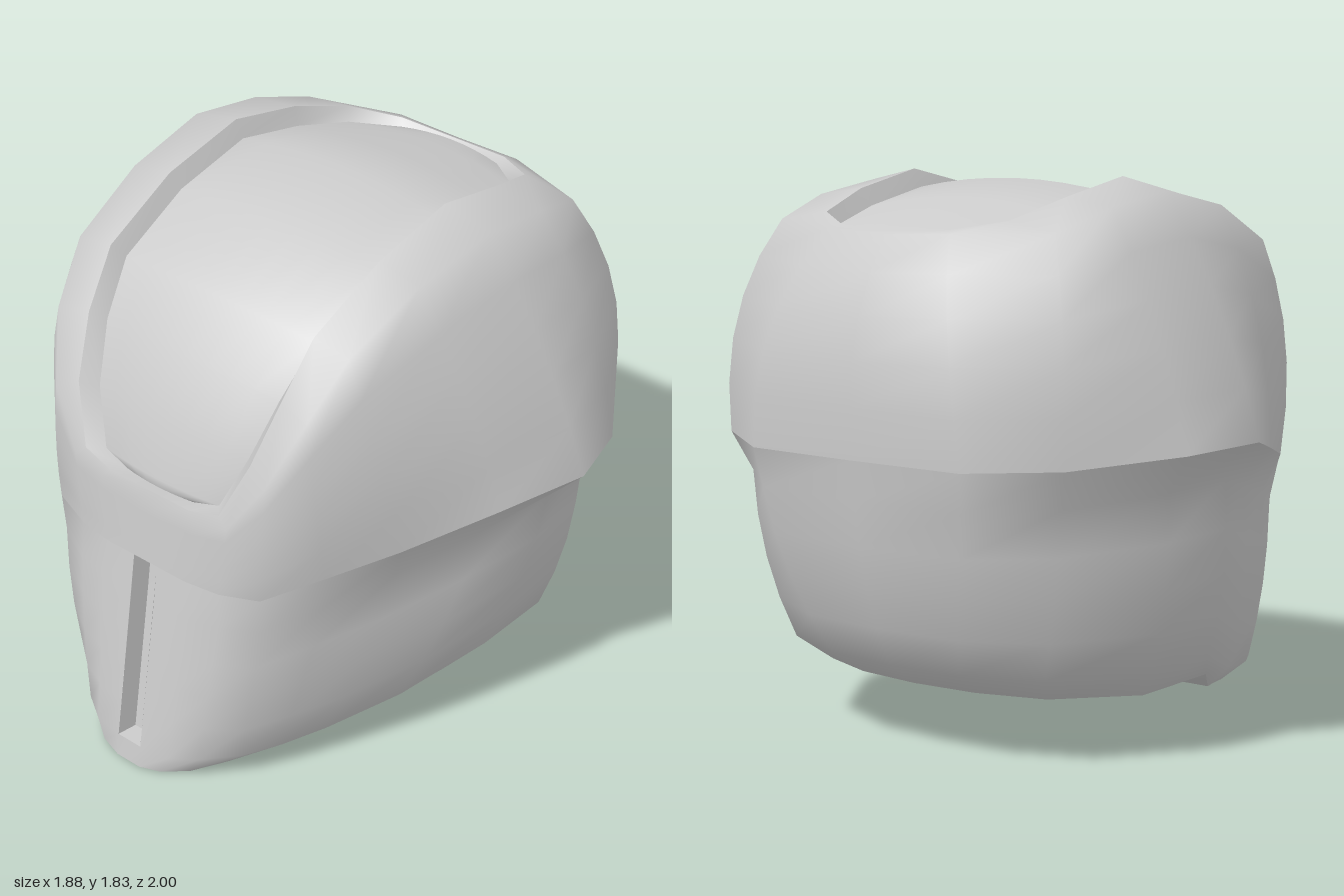
import * as THREE from 'three';
import { toCreasedNormals } from 'three/addons/utils/BufferGeometryUtils.js';

const V = (x, y, z) => new THREE.Vector3(x, y, z);
const CENTRE = V(0.1, 0.9, 0);

// Key lines of one half, each running from the face centre round to the back centre
const bottom = [[-.94, 0, 0], [-.94, 0, .05], [-.92, .01, .13], [-.86, .02, .21], [-.75, .03, .28], [-.62, .035, .33], [-.48, .05, .38],
  [-.25, .11, .53], [-.08, .2, .64], [.28, .2, .65], [.53, .205, .46], [.62, .21, .24], [.64, .21, 0]];
const bevel = [[-.93, .08, 0], [-.93, .08, .05], [-.915, .08, .16], [-.86, .09, .25], [-.76, .1, .35], [-.64, .11, .42], [-.5, .13, .49],
  [-.26, .19, .61], [.04, .29, .73], [.34, .29, .73], [.63, .29, .53], [.735, .29, .27], [.755, .29, 0]];
const ridge = [[-.82, .76, 0], [-.82, .76, .05], [-.82, .76, .17], [-.8, .76, .3], [-.76, .78, .44], [-.6, .84, .57], [-.4, .9, .71],
  [-.1, .97, .87], [.16, 1.03, 1], [.43, 1.01, .92], [.75, .98, .7], [.92, .97, .43], [.93, .97, 0]];
const rimOuter = [[-.8, .98, 0], [-.8, .98, .05], [-.8, .99, .2], [-.79, 1.02, .33], [-.745, 1.2, .45], [-.64, 1.42, .53], [-.49, 1.6, .57],
  [-.2, 1.73, .6], [.12, 1.79, .62], [.4, 1.75, .61], [.63, 1.68, .57], [.75, 1.67, .25], [.76, 1.66, 0]];
const rimInner = [[-.79, 1.02, 0], [-.79, 1.02, .05], [-.79, 1.02, .17], [-.78, 1.05, .29], [-.72, 1.24, .37], [-.62, 1.44, .41], [-.49, 1.62, .43],
  [-.2, 1.76, .44], [.12, 1.83, .44], [.4, 1.775, .43], [.62, 1.71, .38], [.72, 1.68, .22], [.735, 1.67, 0]];
const inset = [-.02, -.02, -.02, -.01, .01, .03, .06, .09, .13, .1, .07, .03, .015];
const upperBulge = [0, 0, 0, 0, .01, .03, .05, .045, .03, .045, .07, .08, .07];
const lowerBulge = [0, 0, 0, .01, .02, .02, .03, .03, .03, .03, .03, .03, .03];
// Depth of the panel edge below the rim, and its width as a share of the rim's
const recess = [.05, .05, .05, .05, .05, .05, .06, .06, .06, .06, .05, .03, .02];
const narrowing = [.85, .85, .85, .85, .87, .9, .93, .93, .93, .93, .93, .93, .93];

// Surface through a grid of points
function grid(rows, closed = false, skip = () => false) {
  const n = rows[0].length, idx = [];
  for (let i = 0; i < rows.length - 1; i++) {
    for (let j = 0; j < (closed ? n : n - 1); j++) {
      if (skip(i, j)) continue;
      const a = i * n + j, b = i * n + (j + 1) % n;
      idx.push(a, b, b + n, a, b + n, a + n);
    }
  }
  const g = new THREE.BufferGeometry();
  g.setAttribute('position', new THREE.Float32BufferAttribute(rows.flat().flatMap(p => [p.x, p.y, p.z]), 3));
  g.setIndex(idx);
  g.computeVertexNormals();
  return g;
}

// Points of a curve bowed outwards from a to b
function bow(a, b, amount, steps) {
  const mid = a.clone().lerp(b, 0.5);
  mid.addScaledVector(mid.clone().sub(CENTRE).normalize(), amount * 2);
  return new THREE.QuadraticBezierCurve3(a, mid, b).getPoints(steps);
}

const mirror = p => V(p.x, p.y, -p.z);

export function createModel() {
  const group = new THREE.Group();
  const material = new THREE.MeshStandardMaterial({ color: 0xcccccc, side: THREE.DoubleSide });
  const add = (name, geometry) => {
    const mesh = new THREE.Mesh(geometry, material);
    mesh.name = name;
    group.add(mesh);
  };

  // Edge of the sunken top panel
  const floorEdge = rimInner.map((p, j) => {
    const v = V(...p);
    v.addScaledVector(V(CENTRE.x - v.x, CENTRE.y - v.y, 0).normalize(), recess[j]);
    v.z *= narrowing[j];
    return v;
  });

  // One vertical column of the shell, from the bottom edge over the rim into the recess
  const columns = ridge.map((r, j) => {
    const crest = V(...r);
    const under = V(r[0], r[1] - 0.13, r[2]);
    under.addScaledVector(V(CENTRE.x - r[0], 0, -r[2]).normalize(), inset[j]);
    return [V(...bottom[j]),
      ...bow(V(...bevel[j]), under, lowerBulge[j], 4),
      ...bow(crest, V(...rimOuter[j]), upperBulge[j], 5),
      V(...rimInner[j]), floorEdge[j]];
  });
  const ring = [...columns, ...columns.slice(1, -1).reverse().map(c => c.map(mirror))];
  const rows = columns[0].map((_, i) => ring.map(c => c[i]));

  // Shell in two halves that meet at the crisp side ridge
  const slotGap = (i, j) => i >= 1 && (j === 0 || j === ring.length - 1);
  add('lowerShell', grid(rows.slice(0, 7), true, slotGap));
  add('upperShell', grid(rows.slice(6, -1), true));
  add('recessWall', grid(rows.slice(-2), true));

  // Gently crowned panel between the two rims
  const panel = floorEdge.map(p => {
    const out = V(p.x - CENTRE.x, p.y - CENTRE.y, 0).normalize();
    return Array.from({ length: 9 }, (_, k) => {
      const s = k / 4 - 1;
      return V(p.x, p.y, p.z * s).addScaledVector(out, 0.1 * p.z * (1 - s * s));
    });
  });
  add('topPanel', grid(panel));

  // Narrow vertical slot in the face
  const side = columns[1].slice(1, 7);
  const slotRow = (p, depth) => [[-.05, 0], [-.04, depth], [.04, depth], [.05, 0]].map(([z, d]) => V(p.x + d, p.y, z));
  const slot = [slotRow(side[0], 0), ...side.map(p => slotRow(p, 0.07)), slotRow(side[5], 0)];
  add('faceSlot', toCreasedNormals(grid(slot), 0.5));

  // Closed underside
  const base = bottom.map(p => [1, 0.5, 0, -0.5, -1].map(s => V(p[0], p[1], p[2] * s)));
  add('underside', toCreasedNormals(grid(base), 0.4));

  return group;
}
